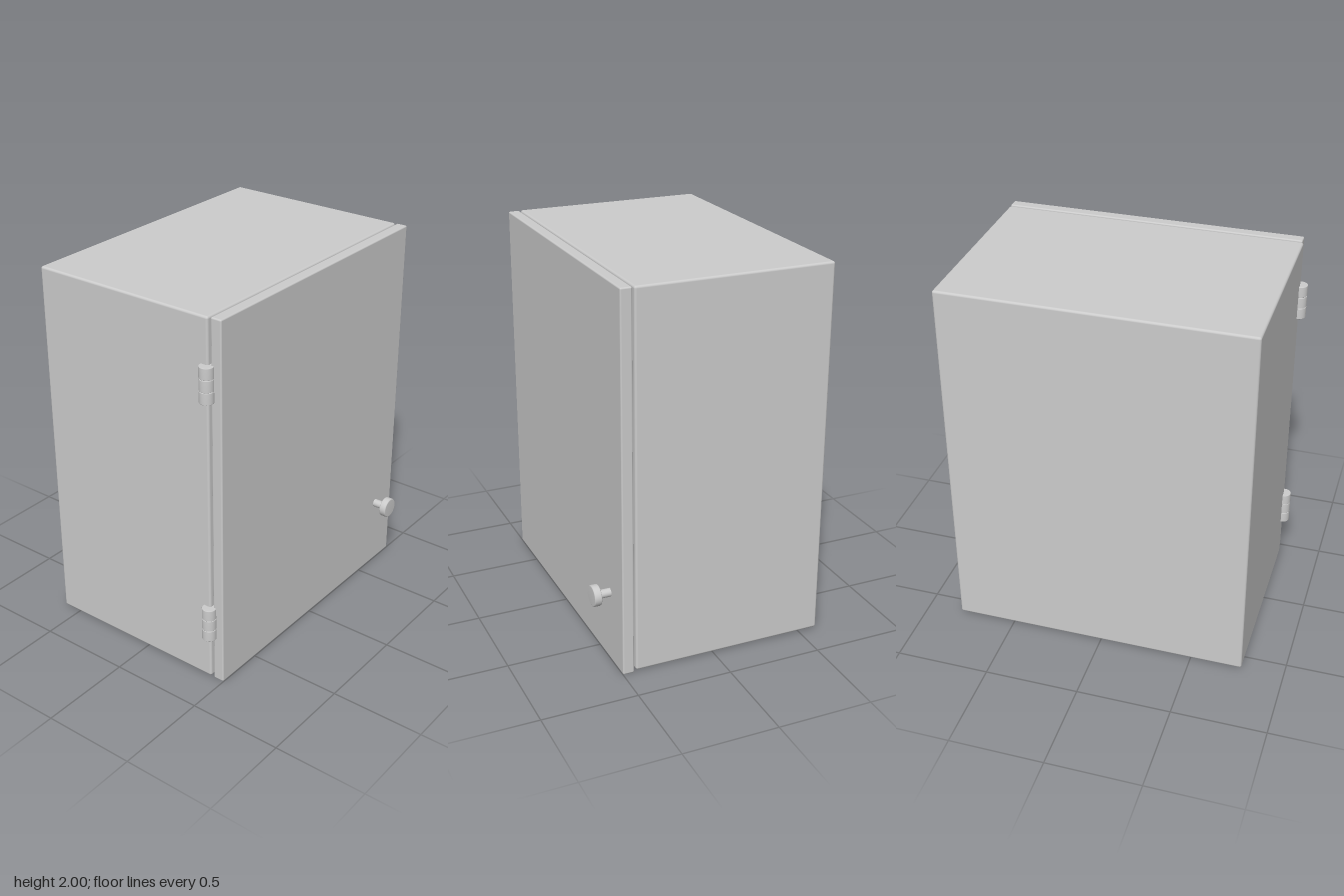
import * as THREE from 'three';
import { RoundedBoxGeometry } from 'three/addons/geometries/RoundedBoxGeometry.js';

const material = new THREE.MeshStandardMaterial({ color: 0xcccccc });

export function createModel() {
  const model = new THREE.Group();
  model.name = 'wallCabinet';

  const add = (parent, name, geometry, x = 0, y = 0, z = 0) => {
    const mesh = new THREE.Mesh(geometry, material);
    mesh.name = name;
    mesh.position.set(x, y, z);
    parent.add(mesh);
    return mesh;
  };

  // Softly rounded slab given by its extents
  const slab = (name, [x0, x1], [y0, y1], [z0, z1], radius) =>
    add(model, name, new RoundedBoxGeometry(x1 - x0, y1 - y0, z1 - z0, 3, radius),
      (x0 + x1) / 2, (y0 + y1) / 2, (z0 + z1) / 2);

  slab('cabinetBody', [-0.777, 0.81], [0.012, 2], [-0.6, 0.43], 0.012);
  slab('door', [-0.768, 0.81], [0.003, 2], [0.44, 0.5], 0.008);

  // Turned solid with bevelled rims, along y from 0 to h
  const turned = (r, h, b) => {
    const outline = [[0, 0], [r - b, 0], [r - b * 0.3, b * 0.3], [r, b],
      [r, h - b], [r - b * 0.3, h - b * 0.3], [r - b, h], [0, h]];
    return new THREE.LatheGeometry(outline.map(([x, y]) => new THREE.Vector2(x, y)), 32);
  };

  // Two hinges, each a barrel of three knuckles
  for (const [name, y] of [['lowerHinge', 0.255], ['upperHinge', 1.58]]) {
    const hinge = new THREE.Group();
    hinge.name = name;
    hinge.position.set(-0.78, y, 0.424);
    for (let i = 0; i < 3; i++) {
      add(hinge, 'knuckle', turned(0.037, 0.061, 0.003), 0, i * 0.062, 0);
    }
    add(hinge, 'hingePin', new THREE.CylinderGeometry(0.03, 0.03, 0.18, 24), 0, 0.0925, 0);
    model.add(hinge);
  }

  // Knob: stem and disc pointing forward
  const knob = new THREE.Group();
  knob.name = 'doorKnob';
  knob.position.set(0.645, 0.388, 0.495);
  knob.rotation.x = Math.PI / 2;
  add(knob, 'knobStem', new THREE.CylinderGeometry(0.022, 0.022, 0.075, 32), 0, 0.0375, 0);
  add(knob, 'knobDisc', turned(0.055, 0.04, 0.006), 0, 0.065, 0);
  model.add(knob);

  return model;
}
